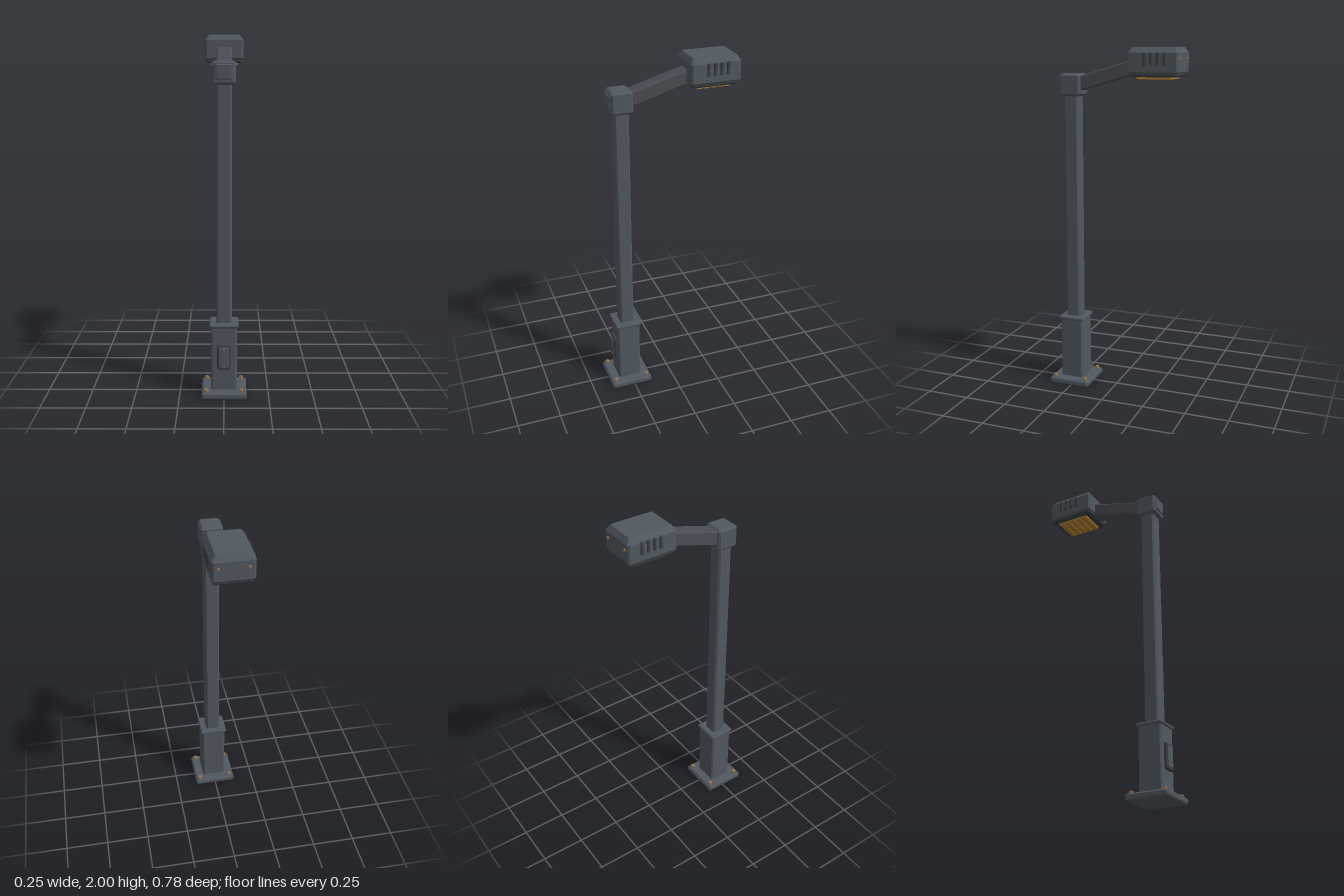
import * as THREE from 'three';
import { ConvexGeometry } from 'three/addons/geometries/ConvexGeometry.js';

const material = (name, color) => {
  const m = new THREE.MeshStandardMaterial({ color });
  m.name = name;
  return m;
};

// Convex block stacked from chamfered rectangles: [y, halfX, halfZ, cornerCut]
function stackedBlock(rings) {
  const pts = [];
  for (const [y, hx, hz, c] of rings)
    for (const sx of [-1, 1])
      for (const sz of [-1, 1]) {
        pts.push(new THREE.Vector3(sx * hx, y, sz * (hz - c)));
        pts.push(new THREE.Vector3(sx * (hx - c), y, sz * hz));
      }
  return new ConvexGeometry(pts);
}

// Box with every edge chamfered, centred on its origin
function chamferBox(w, h, d, c) {
  const x = w / 2, y = h / 2, z = d / 2;
  return stackedBlock([
    [-y, x - c, z - c, c / 2], [-y + c, x, z, c],
    [y - c, x, z, c], [y, x - c, z - c, c / 2],
  ]);
}

export function createModel() {
  const group = new THREE.Group();
  group.name = 'streetLamp';
  const steel = material('steel', 0x505860);
  const armSteel = material('armSteel', 0x4a4d55);
  const darkSteel = material('darkSteel', 0x3a3f45);
  const brass = material('brass', 0x98744a);
  const lensAmber = material('lensAmber', 0xb07c30);

  const add = (name, geometry, mat, x, y, z) => {
    const mesh = new THREE.Mesh(geometry, mat);
    mesh.name = name;
    mesh.position.set(x, y, z);
    group.add(mesh);
    return mesh;
  };
  const poleZ = 0.264;

  // Base plate and anchor bolts
  add('basePlate', stackedBlock([
    [0, 0.122, 0.119, 0.006], [0.007, 0.126, 0.123, 0.008],
    [0.026, 0.126, 0.123, 0.008], [0.035, 0.117, 0.114, 0.006],
  ]), steel, 0, 0, poleZ);
  const boltGeo = new THREE.CylinderGeometry(0.012, 0.012, 0.016, 8).toNonIndexed();
  boltGeo.computeVertexNormals();
  for (const x of [-0.098, 0.098])
    for (const dz of [-0.097, 0.095]) add('anchorBolt', boltGeo, brass, x, 0.041, poleZ + dz);

  // Pedestal, collar and pole
  add('pedestal', chamferBox(0.144, 0.38, 0.136, 0.008), steel, 0, 0.215, poleZ);
  add('pedestalCollar', chamferBox(0.162, 0.02, 0.154, 0.006), steel, 0, 0.406, poleZ);
  add('pole', chamferBox(0.086, 1.36, 0.084, 0.01), steel, 0, 1.07, poleZ);

  // Access door with two screws
  add('doorFrame', chamferBox(0.08, 0.144, 0.022, 0.006), darkSteel, 0, 0.23, 0.337);
  add('doorPanel', chamferBox(0.056, 0.118, 0.012, 0.003), steel, 0, 0.23, 0.346);
  const screwGeo = new THREE.CylinderGeometry(0.005, 0.005, 0.006, 8);
  for (const y of [0.177, 0.283])
    add('doorScrew', screwGeo, brass, 0, y, 0.352).rotation.x = Math.PI / 2;

  // Bracket on top of the pole, with lower lip and front cap
  add('bracket', chamferBox(0.124, 0.126, 0.125, 0.012), steel, 0, 1.79, poleZ);
  add('bracketCap', chamferBox(0.09, 0.08, 0.014, 0.005), steel, 0, 1.795, 0.327);

  // Sloping arm
  const from = new THREE.Vector3(0, 1.793, 0.23);
  const to = new THREE.Vector3(0, 1.901, -0.14);
  const mid = from.clone().lerp(to, 0.5);
  const arm = add('arm', chamferBox(0.086, 0.08, from.distanceTo(to), 0.007), armSteel, 0, mid.y, mid.z);
  arm.rotation.x = Math.atan2(to.y - from.y, from.z - to.z);

  // Lamp housing
  const headZ = -0.243;
  add('lampHousing', stackedBlock([
    [1.858, 0.104, 0.136, 0.008], [1.868, 0.11, 0.143, 0.01],
    [1.97, 0.11, 0.143, 0.01], [2.0, 0.088, 0.123, 0.006],
  ]), steel, 0, 0, headZ);
  add('lampRim', chamferBox(0.204, 0.028, 0.268, 0.008), darkSteel, 0, 1.855, headZ);

  // Lens with raised ribs
  add('lens', new THREE.BoxGeometry(0.156, 0.01, 0.2), lensAmber, 0, 1.838, headZ);
  for (let i = 0; i < 5; i++)
    add('lensRib', new THREE.BoxGeometry(0.156, 0.006, 0.028), lensAmber, 0, 1.832, headZ + (i - 2) * 0.04);

  // Side vents and rear screws
  const ventGeo = chamferBox(0.014, 0.07, 0.017, 0.004);
  const rearScrewGeo = new THREE.CylinderGeometry(0.008, 0.008, 0.012, 8);
  for (const side of [-1, 1]) {
    for (let i = 0; i < 4; i++)
      add('vent', ventGeo, darkSteel, side * 0.11, 1.938, -0.309 + i * 0.037);
    add('rearScrew', rearScrewGeo, brass, side * 0.077, 1.938, -0.386).rotation.x = Math.PI / 2;
  }

  return group;
}
